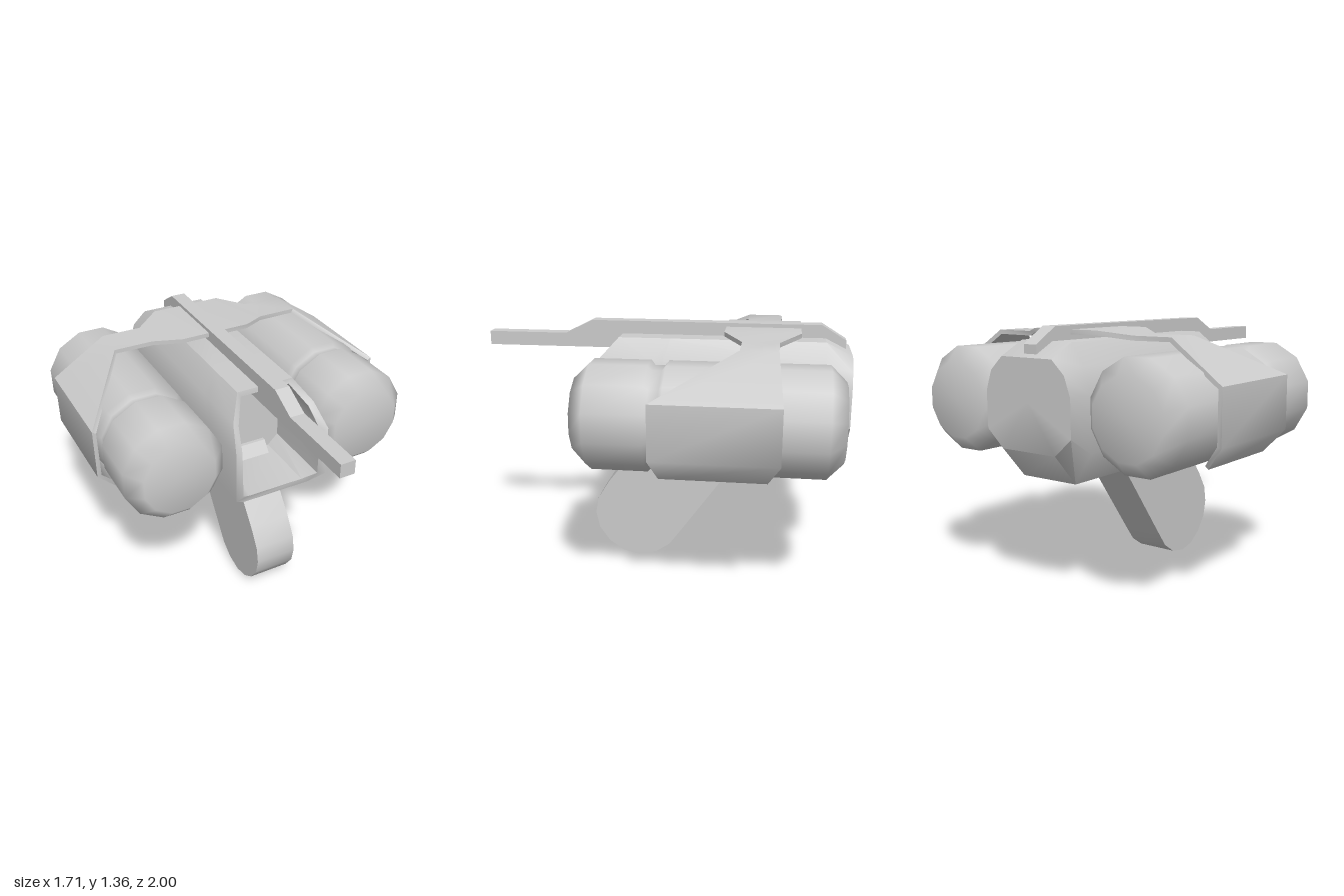
import * as THREE from 'three';
import { toCreasedNormals } from 'three/addons/utils/BufferGeometryUtils.js';

const material = new THREE.MeshStandardMaterial({ color: 0xcccccc });

function addMesh(group, name, geometry) {
  const mesh = new THREE.Mesh(geometry, material);
  mesh.name = name;
  group.add(mesh);
  return mesh;
}

// Skin closed rings of [x, y, z] points and cap both ends with fans.
function loft(rings, crease) {
  const pos = [];
  const tri = (a, b, c) => pos.push(...a, ...b, ...c);
  const centre = (ring) => [0, 1, 2].map((k) => ring.reduce((s, p) => s + p[k], 0) / ring.length);
  const n = rings[0].length;
  const first = rings[0], last = rings[rings.length - 1];
  const c0 = centre(first), c1 = centre(last);
  for (let j = 0; j < n; j++) {
    const k = (j + 1) % n;
    for (let i = 0; i < rings.length - 1; i++) {
      const a = rings[i], b = rings[i + 1];
      tri(a[j], b[j], a[k]);
      tri(a[k], b[j], b[k]);
    }
    tri(c0, first[j], first[k]);
    tri(c1, last[k], last[j]);
  }
  const geometry = new THREE.BufferGeometry();
  geometry.setAttribute('position', new THREE.Float32BufferAttribute(pos, 3));
  return toCreasedNormals(geometry, crease);
}

// Mirror the left half of a cross-section, listed from top to bottom.
const mirrorRing = (half) => [...half, ...[...half].reverse().map(([x, y, z]) => [-x, y, z])];
const flatRing = (half, z) => mirrorRing(half.map(([x, y]) => [x, y, z]));

// Extrude a side outline of [z, y] points to a width across x.
function sideExtrude(outline, width, crease) {
  const shape = new THREE.Shape(outline.map(([z, y]) => new THREE.Vector2(z, y)));
  const geometry = new THREE.ExtrudeGeometry(shape, { depth: width, bevelEnabled: false });
  geometry.translate(0, 0, -width / 2);
  geometry.rotateY(-Math.PI / 2);
  return toCreasedNormals(geometry, crease);
}

// Hull with chamfered tail and hollow, raked mouth
function bodyGeometry() {
  const full = [[0.16, 1.29], [0.235, 1.18], [0.27, 1.05], [0.27, 0.77], [0.17, 0.61]];
  const tail = [[0.16, 1.22], [0.235, 1.15], [0.27, 1.05], [0.27, 0.86], [0.17, 0.77]];
  const rim = [[0.16, 1.29, 0.24], [0.235, 1.18, 0.34], [0.27, 1.06, 0.44], [0.27, 0.77, 0.44], [0.2, 0.7, 0.38]];
  const lip = [[0.14, 1.26, 0.24], [0.205, 1.16, 0.34], [0.23, 1.05, 0.43], [0.225, 0.78, 0.43], [0.16, 0.73, 0.38]];
  const cavity = [[0.14, 1.25], [0.19, 1.16], [0.21, 1.04], [0.21, 0.8], [0.15, 0.74]];
  return loft([
    flatRing(tail, -1), flatRing(full, -0.86), flatRing(full, -0.01),
    mirrorRing([...rim.slice(0, 4).map(([x, y, z]) => [x, y, z - 0.28]), [0.2, 0.7, 0.14]]),
    mirrorRing(rim), mirrorRing(lip), flatRing(cavity, 0.02),
  ], 0.75);
}

// Twelve-sided pod with a waist between its two sections
function podGeometry() {
  const R = 0.28;
  const profile = [[0, -0.95], [0.2, -0.95], [R, -0.87], [R, -0.08], [0.255, -0.06],
    [0.255, -0.01], [R, 0.01], [R, 0.3], [0.2, 0.38], [0, 0.38]];
  const points = profile.map(([r, z]) => new THREE.Vector2(r, z));
  const geometry = new THREE.LatheGeometry(points, 12, Math.PI / 12);
  return geometry.rotateX(Math.PI / 2);
}

// Thin folded cover; each station is x, y, front z, back z
function coverGeometry() {
  const half = [
    [0.2, 1.34, -0.33, -0.73], [0.34, 1.315, -0.43, -0.62], [0.56, 1.315, -0.43, -0.62],
    [0.855, 1.11, -0.02, -0.65], [0.855, 0.83, -0.02, -0.65], [0.75, 0.71, -0.06, -0.59],
  ];
  const stations = [...[...half].reverse().map(([x, ...r]) => [-x, ...r]), ...half];
  const thickness = 0.024;
  const rings = stations.map(([x, y, front, back], i) => {
    const a = stations[Math.max(i - 1, 0)];
    const b = stations[Math.min(i + 1, stations.length - 1)];
    const inward = new THREE.Vector2(b[1] - a[1], a[0] - b[0]).setLength(thickness);
    const ix = x + inward.x, iy = y + inward.y;
    return [[x, y, front], [x, y, back], [ix, iy, back], [ix, iy, front]];
  });
  return loft(rings, 0.75);
}

export function createModel() {
  const group = new THREE.Group();
  group.name = 'model';

  addMesh(group, 'body', bodyGeometry());

  // Side pods
  const pod = podGeometry();
  for (const [name, side] of [['leftPod', 1], ['rightPod', -1]]) {
    addMesh(group, name, pod).position.set(0.55 * side, 0.97, 0);
  }

  addMesh(group, 'cover', coverGeometry());

  // Long top rail
  addMesh(group, 'topRail', sideExtrude([
    [1, 1.21], [1, 1.285], [0.56, 1.285], [0.41, 1.36], [-0.84, 1.36], [-0.97, 1.28], [-0.97, 1.21],
  ], 0.08, 0.3));

  // Slanted lower arm with rounded foot
  addMesh(group, 'lowerArm', sideExtrude([
    [0.04, 0.8], [0.12, 0.7], [0.32, 0.445], [0.385, 0.34], [0.4, 0.25], [0.38, 0.16], [0.32, 0.075],
    [0.24, 0.02], [0.15, 0], [0.05, 0.02], [-0.03, 0.075], [-0.1, 0.17], [-0.42, 0.615], [-0.55, 0.8],
  ], 0.234, 0.7));

  return group;
}
